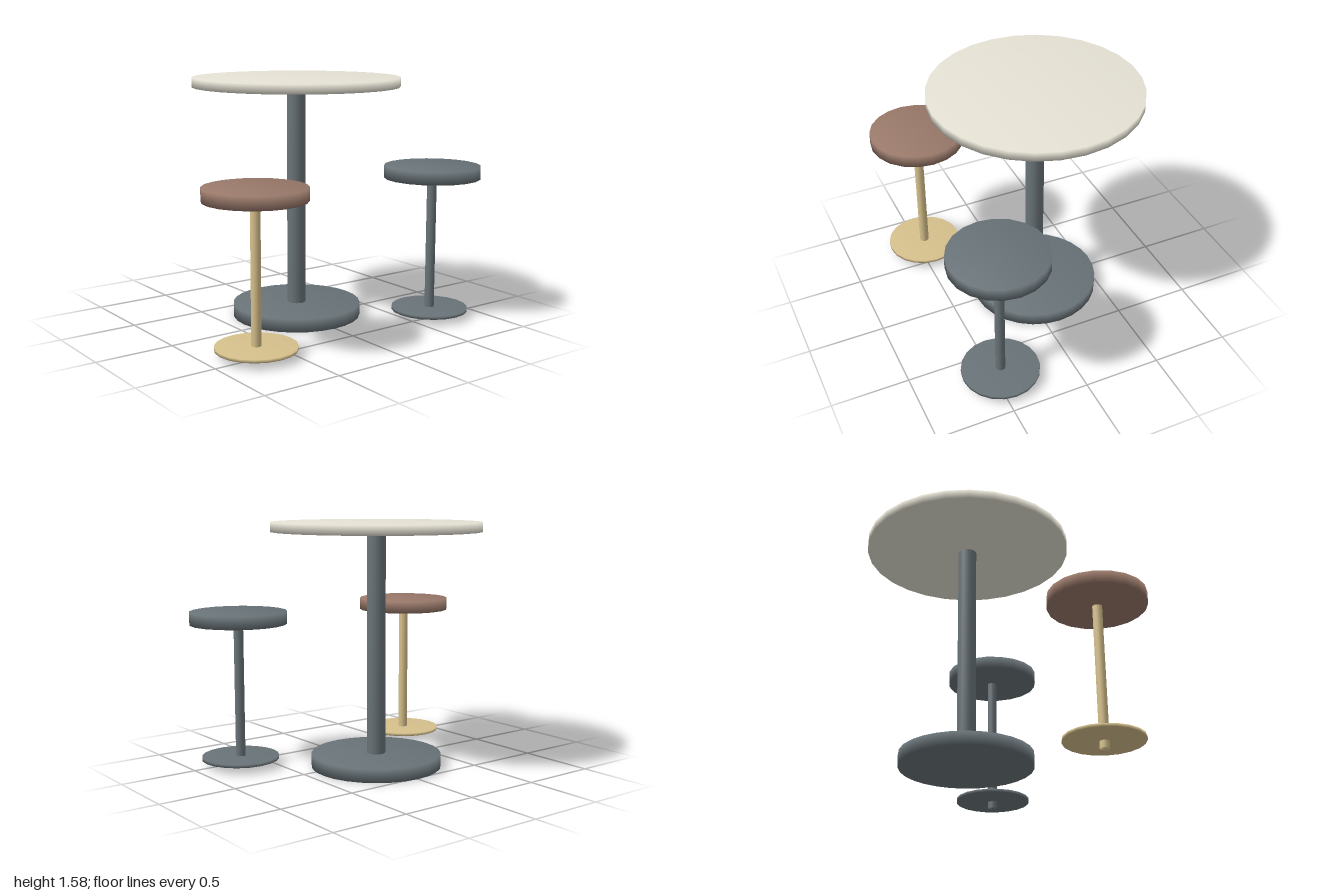
import * as THREE from 'three';

const material = (color) => new THREE.MeshStandardMaterial({ color });
const cream = material(0xe6e3d5);
const steel = material(0x697378);
const brown = material(0x99796a);
const brass = material(0xd6c08c);

// Closed disc or post, with normals softened over its rims
function disc(name, radius, bottom, top, sides, mat) {
  const profile = [[0, bottom], [radius, bottom], [radius, top], [0, top]]
    .map(([x, y]) => new THREE.Vector2(x, y));
  const mesh = new THREE.Mesh(new THREE.LatheGeometry(profile, sides), mat);
  mesh.name = name;
  return mesh;
}

function createTable() {
  const table = new THREE.Group();
  table.name = 'table';
  table.add(
    disc('tableBase', 0.42, 0, 0.085, 28, steel),
    disc('tablePost', 0.06, 0.085, 1.515, 20, steel),
    disc('tableTop', 0.67, 1.515, 1.575, 28, cream),
  );
  table.position.z = -0.1;
  return table;
}

function createStool(name, x, seatMaterial, frameMaterial) {
  const stool = new THREE.Group();
  stool.name = name;
  // The post runs through the thin foot plate down to the floor
  stool.add(
    disc('footPlate', 0.25, 0.042, 0.062, 20, frameMaterial),
    disc('stoolPost', 0.031, 0, 0.928, 16, frameMaterial),
    disc('seat', 0.312, 0.926, 1.007, 20, seatMaterial),
  );
  stool.position.set(x, 0, 0.453);
  return stool;
}

export function createModel() {
  const model = new THREE.Group();
  model.name = 'tableWithStools';
  model.add(
    createTable(),
    createStool('rightStool', -0.688, brown, brass),
    createStool('leftStool', 0.688, steel, steel),
  );
  return model;
}
